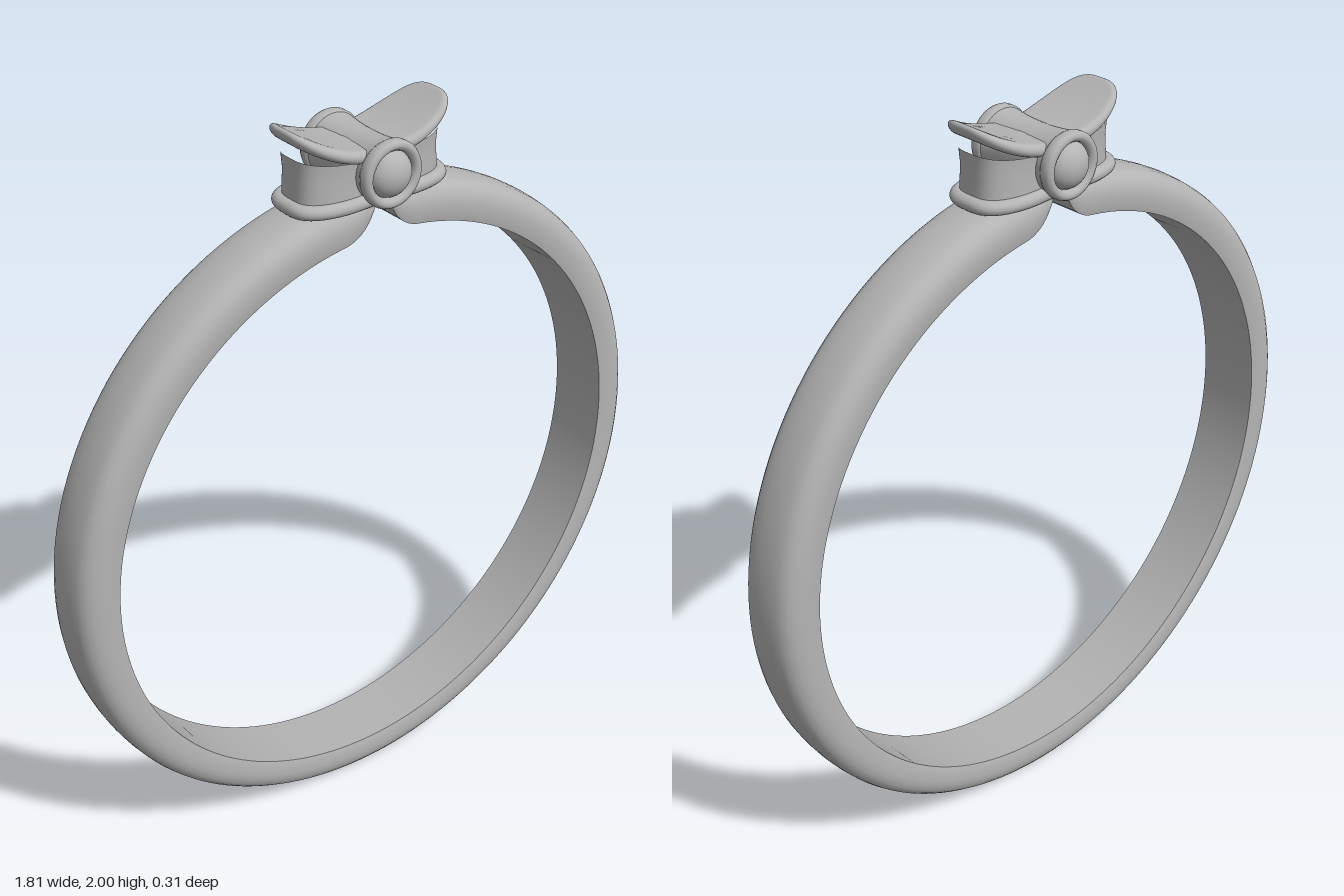
import * as THREE from 'three';
import { toCreasedNormals, mergeVertices } from 'three/addons/utils/BufferGeometryUtils.js';

const CY = 0.91, OUTER = 0.905, INNER = 0.8; // hoop centre height and radii

// Skins a list of closed rings (arrays of [x, y, z]) into one surface.
function loft(rings, crease) {
  const n = rings[0].length, index = [];
  for (let i = 0; i < rings.length - 1; i++) {
    for (let j = 0; j < n; j++) {
      const a = i * n + j, b = i * n + (j + 1) % n;
      index.push(a, a + n, b, b, a + n, b + n);
    }
  }
  const g = new THREE.BufferGeometry();
  g.setAttribute('position', new THREE.Float32BufferAttribute(rings.flat(2), 3));
  g.setIndex(index);
  if (crease) return toCreasedNormals(g, crease);
  const merged = mergeVertices(g, 1e-5);
  merged.computeVertexNormals();
  return merged;
}

// Open hoop: flat inside, rounded outside, inner face curling up at both ends.
function hoopGeometry() {
  const half = [[0, 0.089], [0.12, 0.092], [0.4, 0.094], [0.55, 0.092], [0.7, 0.087],
    [0.82, 0.078], [0.91, 0.066], [0.96, 0.05], [0.99, 0.025]];
  const section = [...half, [1, 0], ...half.map(([t, z]) => [t, -z]).reverse()];
  const angles = [], curl = 14, main = 150;
  for (let k = 0; k < curl; k++) angles.push((0.12 - 0.1 * Math.cos(k / curl * Math.PI / 2)) / 0.86);
  const start = 0.12 / 0.86;
  const all = [...angles];
  for (let k = 0; k <= main; k++) all.push(start + (2 * Math.PI - 2 * start) * k / main);
  all.push(...angles.map(a => 2 * Math.PI - a).reverse());
  const rings = all.map(a => {
    const x = Math.min(a, 2 * Math.PI - a) * 0.86;
    const u = Math.min(1, Math.max(0, (0.12 - x) / 0.1));
    const rin = INNER + 0.103 * (1 - Math.sqrt(1 - u * u));
    return section.map(([t, z]) => {
      const r = rin + t * (OUTER - rin);
      return [r * Math.sin(a), CY + r * Math.cos(a), z];
    });
  });
  return loft(rings, 0.7);
}

// Pinched rounded-rectangle outline, stacked by a profile of [inset, height].
function padGeometry(a, b, profile, lift) {
  const n = 96, p = 2 / 3.2;
  const pow = v => Math.sign(v) * Math.pow(Math.abs(v), p);
  return loft(profile.map(([inset, y]) => {
    const ring = [];
    for (let j = 0; j < n; j++) {
      const th = j / n * Math.PI * 2;
      const x = Math.max(0, a - inset) * pow(Math.cos(th));
      const pinch = 1 - 0.1 * Math.exp(-Math.pow(x / 0.07, 2));
      const z = Math.max(0, b - inset * (inset > 0.05 ? b / a : 1)) * pow(Math.sin(th)) * pinch;
      ring.push([x, y + lift(x), z]);
    }
    return ring;
  }));
}

// Profile of a slab with rounded rim and closed faces.
function slab(y0, y1, a) {
  const r = (y1 - y0) / 2, m = (y0 + y1) / 2, out = [];
  const inner = [a, a * 0.75, a * 0.5, a * 0.25];
  inner.forEach(i => out.push([i, y0]));
  for (let k = 0; k <= 10; k++) {
    const t = -Math.PI / 2 + k / 10 * Math.PI;
    out.push([r - r * Math.cos(t), m + r * Math.sin(t)]);
  }
  inner.reverse().forEach(i => out.push([i, y1]));
  return out;
}

export function createModel() {
  const model = new THREE.Group();
  model.name = 'bowRing';
  const metal = new THREE.MeshStandardMaterial({ color: 0xb4b4b4 });
  metal.name = 'greyMetal';
  const add = (name, geometry, parent = model) => {
    const mesh = new THREE.Mesh(geometry, metal);
    mesh.name = name;
    parent.add(mesh);
    return mesh;
  };
  const v2 = pts => pts.map(([x, y]) => new THREE.Vector2(x, y));

  add('hoop', hoopGeometry());

  // Bow-shaped setting: base flange, body and saddle-shaped top
  const flat = () => 0;
  const saddle = x => 0.065 * Math.pow(x / 0.21, 2);
  add('baseFlange', padGeometry(0.232, 0.11, slab(1.788, 1.824, 0.232), flat));
  add('bowBody', padGeometry(0.208, 0.092, [[0, 1.8], [0.003, 1.87], [0, 1.91]],
    x => 0.3 * saddle(x)));
  add('bowTop', padGeometry(0.232, 0.108, slab(1.9, 1.933, 0.232), saddle));

  // Knot running front to back through the bow
  const knot = new THREE.Group();
  knot.name = 'knot';
  knot.position.y = 1.875;
  model.add(knot);
  const bar = [];
  for (let k = 0; k <= 16; k++) {
    const s = k / 8 - 1;
    bar.push([0.073 + 0.01 * s * s, 0.115 * s]);
  }
  add('knotBar', new THREE.LatheGeometry(v2(bar), 48), knot).rotation.x = Math.PI / 2;

  // Collar and domed stud on the front and back of the knot
  const collar = v2([[0.068, 0.1], [0.081, 0.103], [0.086, 0.112], [0.086, 0.126],
    [0.082, 0.134], [0.074, 0.138], [0.065, 0.135], [0.06, 0.128], [0.058, 0.115]]);
  for (const [side, sign] of [['front', 1], ['back', -1]]) {
    const end = new THREE.Group();
    end.name = side + 'KnotEnd';
    end.rotation.x = sign * Math.PI / 2;
    knot.add(end);
    add(side + 'Collar', new THREE.LatheGeometry(collar, 48), end);
    const dome = add(side + 'Stud', new THREE.SphereGeometry(0.06, 40, 16, 0, Math.PI * 2, 0, Math.PI / 2), end);
    dome.position.y = 0.112;
    dome.scale.y = 0.75;
  }
  return model;
}
